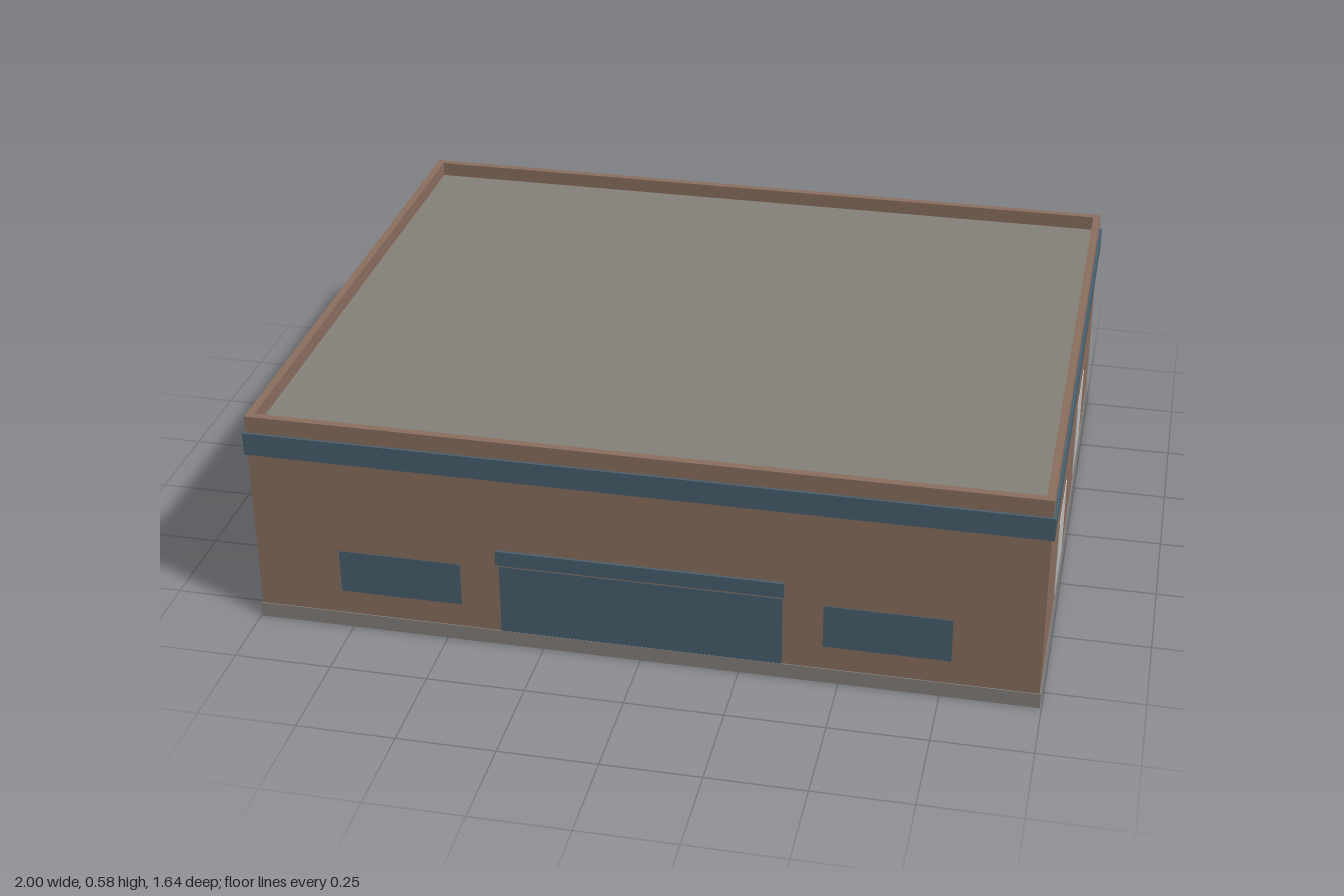
import * as THREE from 'three';

const mat = (name, color) => {
  const m = new THREE.MeshStandardMaterial({ color });
  m.name = name;
  return m;
};

export function createModel() {
  const brown = mat('brown wall', 0x8b6f5f);
  const blue = mat('slate blue', 0x48606f);
  const roofGrey = mat('roof grey', 0x85817a);
  const baseGrey = mat('base grey', 0x83807c);
  const pale = mat('pale grey', 0xbdbdbd);

  const model = new THREE.Group();
  model.name = 'building';
  const X = 0.993, Z = 0.813; // half width and half depth of the walls

  const add = (name, geometry, material) => {
    const mesh = new THREE.Mesh(geometry, material);
    mesh.name = name;
    model.add(mesh);
    return mesh;
  };

  // Rectangular ring around the building, grown outward by `out`, t thick
  const ring = (name, material, out, t, y0, y1) => {
    const rect = (path, x, z) => {
      path.moveTo(-x, -z);
      path.lineTo(x, -z);
      path.lineTo(x, z);
      path.lineTo(-x, z);
      path.closePath();
      return path;
    };
    const shape = rect(new THREE.Shape(), X + out, Z + out);
    shape.holes.push(rect(new THREE.Path(), X + out - t, Z + out - t));
    const g = new THREE.ExtrudeGeometry(shape, { depth: y1 - y0, bevelEnabled: false });
    g.rotateX(-Math.PI / 2).translate(0, y0, 0);
    return add(name, g, material);
  };

  // Axis-aligned box given by its limits
  const box = (name, material, x0, x1, y0, y1, z0, z1) => {
    const g = new THREE.BoxGeometry(x1 - x0, y1 - y0, z1 - z0);
    g.translate((x0 + x1) / 2, (y0 + y1) / 2, (z0 + z1) / 2);
    return add(name, g, material);
  };

  // Shell, open underneath
  ring('walls', brown, 0, 0.004, 0, 0.545);
  ring('parapet', brown, 0, 0.02, 0.545, 0.585);
  ring('basePlinth', baseGrey, 0.003, 0.003, 0, 0.04);
  ring('fasciaBand', blue, 0.007, 0.007, 0.48, 0.54);
  box('roof', roofGrey, -X + 0.004, X - 0.004, 0.54, 0.546, -Z + 0.004, Z - 0.004);

  // Front entrance, canopy and windows
  box('entrance', blue, -0.358, 0.358, 0.04, 0.23, Z, Z + 0.002);
  box('entranceCanopy', blue, -0.365, 0.362, 0.237, 0.277, Z, Z + 0.007);
  for (const s of [-1, 1]) {
    const c = s * 0.617;
    box(s > 0 ? 'frontWindowLeft' : 'frontWindowRight', blue,
      c - 0.158, c + 0.158, 0.105, 0.223, Z, Z + 0.002);
    // Pale shutters on the +x side
    const d = s * 0.31;
    box(s > 0 ? 'sideDoorFront' : 'sideDoorRear', pale,
      X, X + 0.002, 0.075, 0.285, d - 0.112, d + 0.112);
  }
  return model;
}
